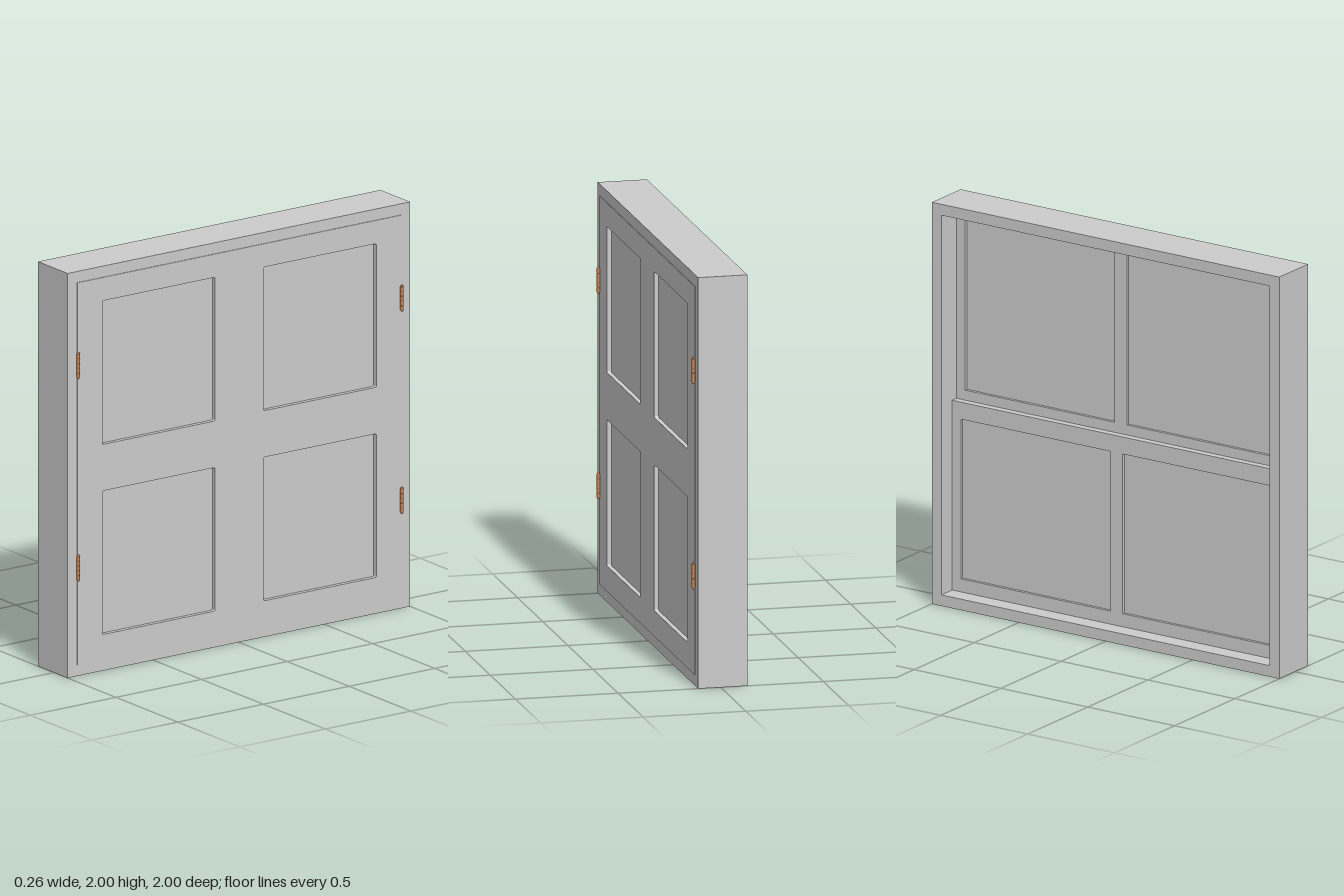
import * as THREE from 'three';

const grey = new THREE.MeshStandardMaterial({ color: 0xcccccc });
const copper = new THREE.MeshStandardMaterial({ color: 0xc8824f });

// Rectangle path in the z-y plane, with optional small corner radius
function rect(path, z0, z1, y0, y1, r = 0) {
  if (r === 0) {
    path.moveTo(z0, y0); path.lineTo(z1, y0); path.lineTo(z1, y1); path.lineTo(z0, y1);
  } else {
    path.moveTo(z0 + r, y0);
    path.lineTo(z1 - r, y0); path.quadraticCurveTo(z1, y0, z1, y0 + r);
    path.lineTo(z1, y1 - r); path.quadraticCurveTo(z1, y1, z1 - r, y1);
    path.lineTo(z0 + r, y1); path.quadraticCurveTo(z0, y1, z0, y1 - r);
    path.lineTo(z0, y0 + r); path.quadraticCurveTo(z0, y0, z0 + r, y0);
  }
  path.closePath();
  return path;
}

// Upright plate from x0 to x1 with rectangular holes [z0, z1, y0, y1]
function plate(name, x0, x1, halfWidth, y0, y1, holes, r = 0) {
  const shape = rect(new THREE.Shape(), -halfWidth, halfWidth, y0, y1);
  for (const h of holes) shape.holes.push(rect(new THREE.Path(), ...h, r));
  const geo = new THREE.ExtrudeGeometry(shape, { depth: x1 - x0, bevelEnabled: false, curveSegments: 3 });
  geo.rotateY(Math.PI / 2).translate(x0, 0, 0);
  const mesh = new THREE.Mesh(geo, grey);
  mesh.name = name;
  return mesh;
}

// Sliding sash: two panes split by a central bar
function sash(name, x0, y0, y1, paneBottom, paneTop) {
  const group = new THREE.Group();
  group.name = name;
  const panes = [[-0.895, -0.035, paneBottom, paneTop], [0.035, 0.895, paneBottom, paneTop]];
  group.add(plate('sashFrame', x0, x0 + 0.036, 0.945, y0, y1, panes));
  group.add(plate('sashGlass', x0 + 0.015, x0 + 0.021, 0.92, paneBottom - 0.02, paneTop + 0.02, []));
  return group;
}

// Hinge: pin, five knuckles and rounded tips
function hinge(y, z) {
  const group = new THREE.Group();
  group.name = 'hinge';
  const add = (name, geo, py) => {
    const mesh = new THREE.Mesh(geo, copper);
    mesh.name = name;
    mesh.position.y = py;
    group.add(mesh);
  };
  add('hingePin', new THREE.CylinderGeometry(0.006, 0.006, 0.124, 12), 0);
  for (let i = -2; i <= 2; i++) {
    add('hingeKnuckle', new THREE.CylinderGeometry(0.0085, 0.0085, 0.0215, 16), i * 0.0235);
  }
  for (const s of [-1, 1]) add('hingeTip', new THREE.SphereGeometry(0.0065, 12, 8), s * 0.0595);
  const leaf = new THREE.Mesh(new THREE.BoxGeometry(0.012, 0.112, 0.005), copper);
  leaf.name = 'hingeLeaf';
  leaf.position.x = -0.007;
  group.add(leaf);
  group.position.set(0.12, y, z);
  return group;
}

export function createModel() {
  const model = new THREE.Group();
  model.name = 'window';

  // Outer casing
  model.add(plate('casing', -0.13, 0.11, 1, 0, 2, [[-0.945, 0.945, 0.055, 1.945]]));

  // Inner sliding sashes
  model.add(sash('lowerSash', -0.04, 0.055, 1.0, 0.12, 0.915));
  model.add(sash('upperSash', -0.004, 0.96, 1.945, 1.05, 1.895));

  // Outer shutter with four recessed panels
  const openings = [];
  for (const [y0, y1] of [[0.18, 0.89], [1.12, 1.83]]) {
    openings.push([-0.8, -0.142, y0, y1], [0.142, 0.8, y0, y1]);
  }
  model.add(plate('shutterFrame', 0.075, 0.114, 0.945, 0.055, 1.945, openings, 0.008));
  model.add(plate('shutterPanel', 0.08, 0.092, 0.85, 0.13, 1.88, []));

  // Hinges on both sides
  for (const y of [0.537, 1.537]) for (const z of [-0.945, 0.945]) model.add(hinge(y, z));

  return model;
}
